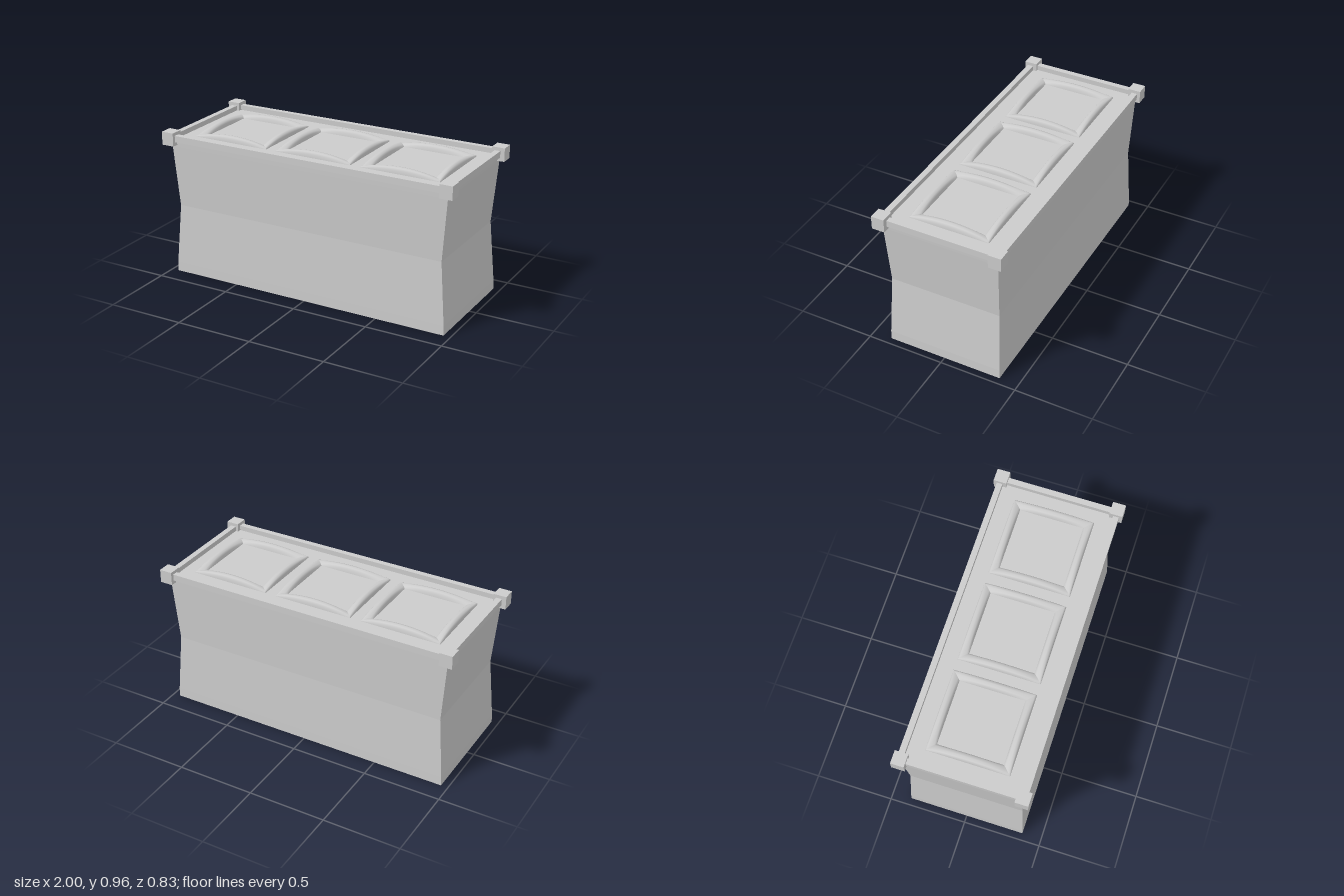
import * as THREE from 'three';

const DECK_Y = 0.905;

export function createModel() {
  const model = new THREE.Group();
  model.name = 'counter';
  const flat = new THREE.MeshStandardMaterial({ color: 0xcccccc, flatShading: true, side: THREE.DoubleSide });
  const smooth = new THREE.MeshStandardMaterial({ color: 0xcccccc, side: THREE.DoubleSide });

  const add = (parent, name, geometry, material, x = 0, y = 0, z = 0) => {
    const mesh = new THREE.Mesh(geometry, material);
    mesh.name = name;
    mesh.position.set(x, y, z);
    parent.add(mesh);
    return mesh;
  };

  // Waisted four-sided shell, open underneath: [y, half width, half depth] from the top down
  const rings = [
    [0.9, 0.955, 0.375], [0.86, 0.953, 0.374], [0.46, 0.92, 0.36],
    [0.06, 0.953, 0.374], [0, 0.955, 0.375],
  ];
  const shell = new THREE.CylinderGeometry(1, 1, 1, 4, rings.length - 1, true, Math.PI / 4);
  const p = shell.attributes.position;
  for (let i = 0; i < p.count; i++) {
    const [y, w, d] = rings[Math.floor(i / 5)];
    p.setXYZ(i, Math.sign(p.getX(i)) * w, y, Math.sign(p.getZ(i)) * d);
  }
  add(model, 'body', shell, flat);

  // Top board
  add(model, 'topBoard', new THREE.BoxGeometry(1.9, 0.015, 0.74), flat, 0, DECK_Y - 0.0075, 0);

  // Edge rails and corner blocks
  for (const s of [-1, 1]) {
    add(model, 'longRail', new THREE.BoxGeometry(1.88, 0.042, 0.037), flat, 0, 0.916, s * 0.3785);
    add(model, 'shortRail', new THREE.BoxGeometry(0.037, 0.042, 0.72), flat, s * 0.9535, 0.916, 0);
    for (const t of [-1, 1]) {
      add(model, 'cornerBlock', new THREE.BoxGeometry(0.083, 0.086, 0.083), flat, s * 0.9585, 0.915, t * 0.376);
    }
  }

  // One mitred moulding bar, arched along its length: [distance from centre, relative height]
  const profile = [
    [0.205, 0], [0.209, 0.55], [0.218, 0.88], [0.235, 1],
    [0.25, 0.88], [0.258, 0.55], [0.26, 0],
  ];
  const steps = 16;
  const bar = new THREE.PlaneGeometry(1, 1, steps, profile.length - 1);
  const b = bar.attributes.position;
  for (let i = 0; i < b.count; i++) {
    const [r, h] = profile[Math.floor(i / (steps + 1))];
    const t = b.getX(i) * 2;
    b.setXYZ(i, t * r, h * (0.038 - 0.028 * t * t), r);
  }
  bar.computeVertexNormals();

  // Three square moulded frames
  for (const x of [-0.59, 0, 0.59]) {
    const frame = new THREE.Group();
    frame.name = 'panelFrame';
    frame.position.set(x, DECK_Y, 0);
    for (let k = 0; k < 4; k++) {
      add(frame, 'frameBar', bar, smooth).rotation.y = k * Math.PI / 2;
    }
    model.add(frame);
  }

  return model;
}
